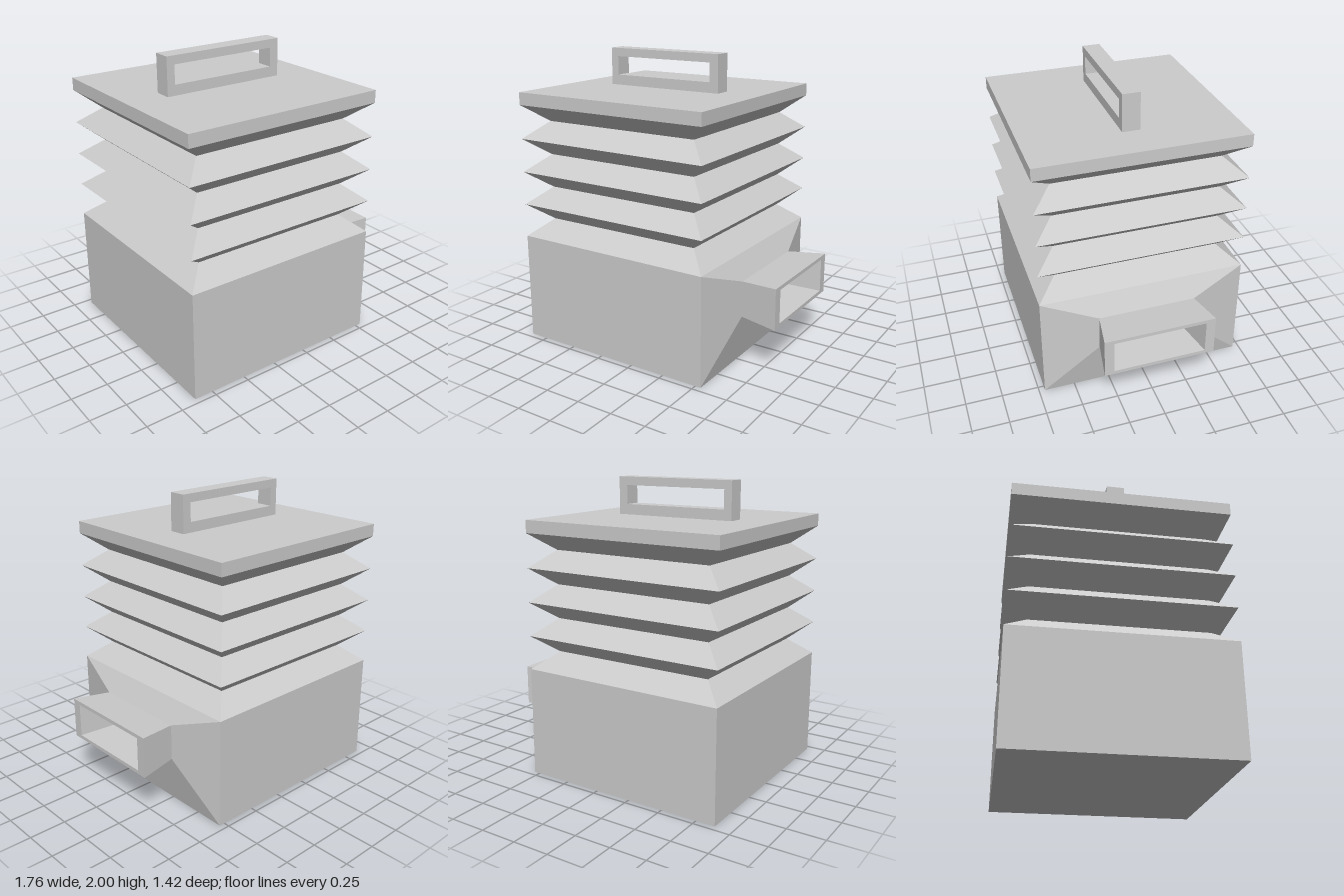
import * as THREE from 'three';

const CX = -0.17;      // centre of the square casing on x
const HALF = 0.71;     // half width of the casing
const BASE_H = 0.745;  // height of the lower casing
const FOLD_TOP = 1.66; // where the folds meet the lid
const LID_TOP = 1.745;

// Skins a row of four-cornered sections, listed counter-clockwise around the axis.
function loft(sections, capEnd) {
  const pos = [];
  const quad = (a, b, c, d) => pos.push(...a, ...b, ...c, ...a, ...c, ...d);
  for (let s = 0; s < sections.length - 1; s++) {
    const p = sections[s], q = sections[s + 1];
    for (let i = 0; i < 4; i++) {
      const j = (i + 1) % 4;
      quad(p[i], p[j], q[j], q[i]);
    }
  }
  if (capEnd) quad(...sections[sections.length - 1]);
  const geo = new THREE.BufferGeometry();
  geo.setAttribute('position', new THREE.Float32BufferAttribute(pos, 3));
  geo.computeVertexNormals();
  return geo;
}

// Square section at height y, and rectangular section at distance x.
const sectionY = (y, h) =>
  [[CX - h, y, h], [CX + h, y, h], [CX + h, y, -h], [CX - h, y, -h]];
const sectionX = (x, y0, y1, hz) =>
  [[x, y0, hz], [x, y0, -hz], [x, y1, -hz], [x, y1, hz]];

export function createModel() {
  const group = new THREE.Group();
  const material = new THREE.MeshStandardMaterial({ color: 0xcccccc, flatShading: true });
  const add = (name, geo, side) => {
    const mat = side ? material.clone() : material;
    if (side) mat.side = side;
    const mesh = new THREE.Mesh(geo, mat);
    mesh.name = name;
    group.add(mesh);
    return mesh;
  };

  // Lower casing
  add('casing', new THREE.BoxGeometry(2 * HALF, BASE_H, 2 * HALF))
    .position.set(CX, BASE_H / 2, 0);

  // Pleated bellows: alternating wide and narrow square sections
  const folds = [];
  for (let i = 0; i <= 8; i++) {
    folds.push(sectionY(BASE_H + (FOLD_TOP - BASE_H) * i / 8, i % 2 ? 0.57 : HALF));
  }
  add('bellows', loft(folds, false), THREE.DoubleSide);

  // Lid
  add('lid', new THREE.BoxGeometry(2 * HALF, LID_TOP - FOLD_TOP, 2 * HALF))
    .position.set(CX, (LID_TOP + FOLD_TOP) / 2, 0);

  // Nozzle: sloping shoulder, flared spout, rim and tapering recess
  add('nozzle', loft([
    sectionX(0.54, 0, BASE_H, HALF),
    sectionX(0.62, 0.36, 0.605, 0.335),
    sectionX(0.88, 0.345, 0.625, 0.38),
    sectionX(0.88, 0.37, 0.6, 0.315),
    sectionX(0.6, 0.395, 0.575, 0.245),
  ], true));

  // Handle: rectangular frame standing on the lid
  const rect = (Target, x0, y0, x1, y1) => {
    const r = new Target();
    r.moveTo(x0, y0);
    r.lineTo(x1, y0);
    r.lineTo(x1, y1);
    r.lineTo(x0, y1);
    r.closePath();
    return r;
  };
  const frame = rect(THREE.Shape, -0.605, LID_TOP, 0.26, 2);
  frame.holes.push(rect(THREE.Path, -0.55, 1.815, 0.197, 1.943));
  add('handle', new THREE.ExtrudeGeometry(frame, { depth: 0.12, bevelEnabled: false }))
    .position.z = -0.06;

  return group;
}
